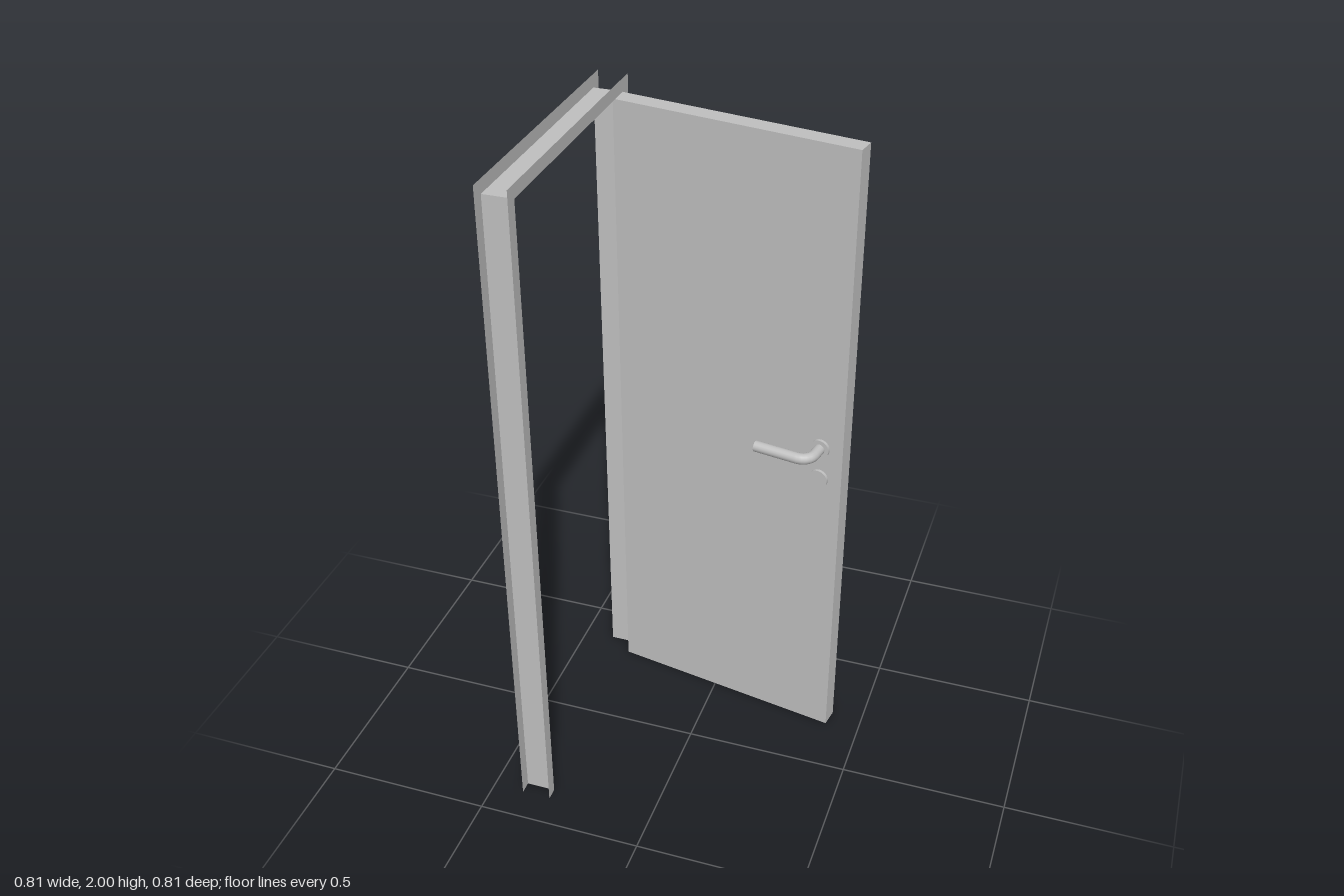
import * as THREE from 'three';

export function createModel() {
  const model = new THREE.Group();
  model.name = 'openDoorInFrame';
  const grey = new THREE.MeshStandardMaterial({ color: 0xc0c0c0 });
  grey.name = 'lightGrey';
  const greySheet = new THREE.MeshStandardMaterial({ color: 0xc0c0c0, side: THREE.DoubleSide });
  greySheet.name = 'lightGreySheet';

  const add = (parent, name, geometry, material = grey) => {
    const mesh = new THREE.Mesh(geometry, material);
    mesh.name = name;
    parent.add(mesh);
    return mesh;
  };

  // Frame: thin sheet channel, open outwards
  const x0 = -0.405, x1 = -0.318, outer = 0.405, inner = 0.367, top = 2, head = 1.962;
  const frame = new THREE.Group();
  frame.name = 'frame';
  model.add(frame);

  const outline = new THREE.Shape([
    [-outer, 0], [-inner, 0], [-inner, head], [inner, head],
    [inner, 0], [outer, 0], [outer, top], [-outer, top],
  ].map(([a, b]) => new THREE.Vector2(a, b)));
  for (const [name, x] of [['outerFlange', x0], ['innerFlange', x1]]) {
    const flange = add(frame, name, new THREE.ShapeGeometry(outline).rotateY(Math.PI / 2), greySheet);
    flange.position.x = x;
  }
  const depth = x1 - x0, mid = (x0 + x1) / 2;
  for (const side of [-1, 1]) {
    const jamb = add(frame, side > 0 ? 'frontJamb' : 'backJamb', new THREE.PlaneGeometry(depth, head), greySheet);
    jamb.position.set(mid, head / 2, side * inner);
  }
  const header = add(frame, 'header', new THREE.PlaneGeometry(depth, 2 * inner).rotateX(-Math.PI / 2), greySheet);
  header.position.set(mid, head, 0);

  // Door leaf, hinged on the back jamb and swung slightly past square
  const width = 0.734, thick = 0.056, height = 1.96;
  const door = new THREE.Group();
  door.name = 'door';
  door.position.set(x1, 0, -inner);
  door.rotation.y = -THREE.MathUtils.degToRad(10);
  model.add(door);
  add(door, 'doorLeaf', new THREE.BoxGeometry(width, height, thick)).position.set(width / 2, height / 2, thick / 2);

  // Lever handle and rosettes on both faces
  const spindle = 0.664, leverY = 1.038, keyY = 0.934;
  const reach = 0.08, length = 0.169, bend = 0.037, radius = 0.0165;
  const v = (x, z) => new THREE.Vector3(x, 0, z);
  for (const side of [1, -1]) {
    const handle = new THREE.Group();
    handle.name = side > 0 ? 'frontHandle' : 'backHandle';
    handle.position.set(spindle, 0, side > 0 ? thick : 0);
    door.add(handle);

    for (const [name, y] of [['handleRosette', leverY], ['keyRosette', keyY]]) {
      const rosette = add(handle, name, new THREE.CylinderGeometry(0.029, 0.029, 0.009, 24).rotateX(Math.PI / 2));
      rosette.position.set(0, y, side * 0.0045);
    }

    const path = new THREE.CurvePath();
    const arc = [];
    for (let i = 0; i <= 6; i++) {
      const a = (i / 6) * Math.PI / 2;
      arc.push(v(-bend + bend * Math.cos(a), side * (reach - bend + bend * Math.sin(a))));
    }
    const points = [v(0, 0), ...arc, v(-length, side * reach)];
    for (let i = 1; i < points.length; i++) path.add(new THREE.LineCurve3(points[i - 1], points[i]));
    add(handle, 'lever', new THREE.TubeGeometry(path, 40, radius, 16)).position.y = leverY;
    const cap = add(handle, 'leverEnd', new THREE.CircleGeometry(radius, 16).rotateY(-Math.PI / 2));
    cap.position.set(-length, leverY, side * reach);
  }
  return model;
}
